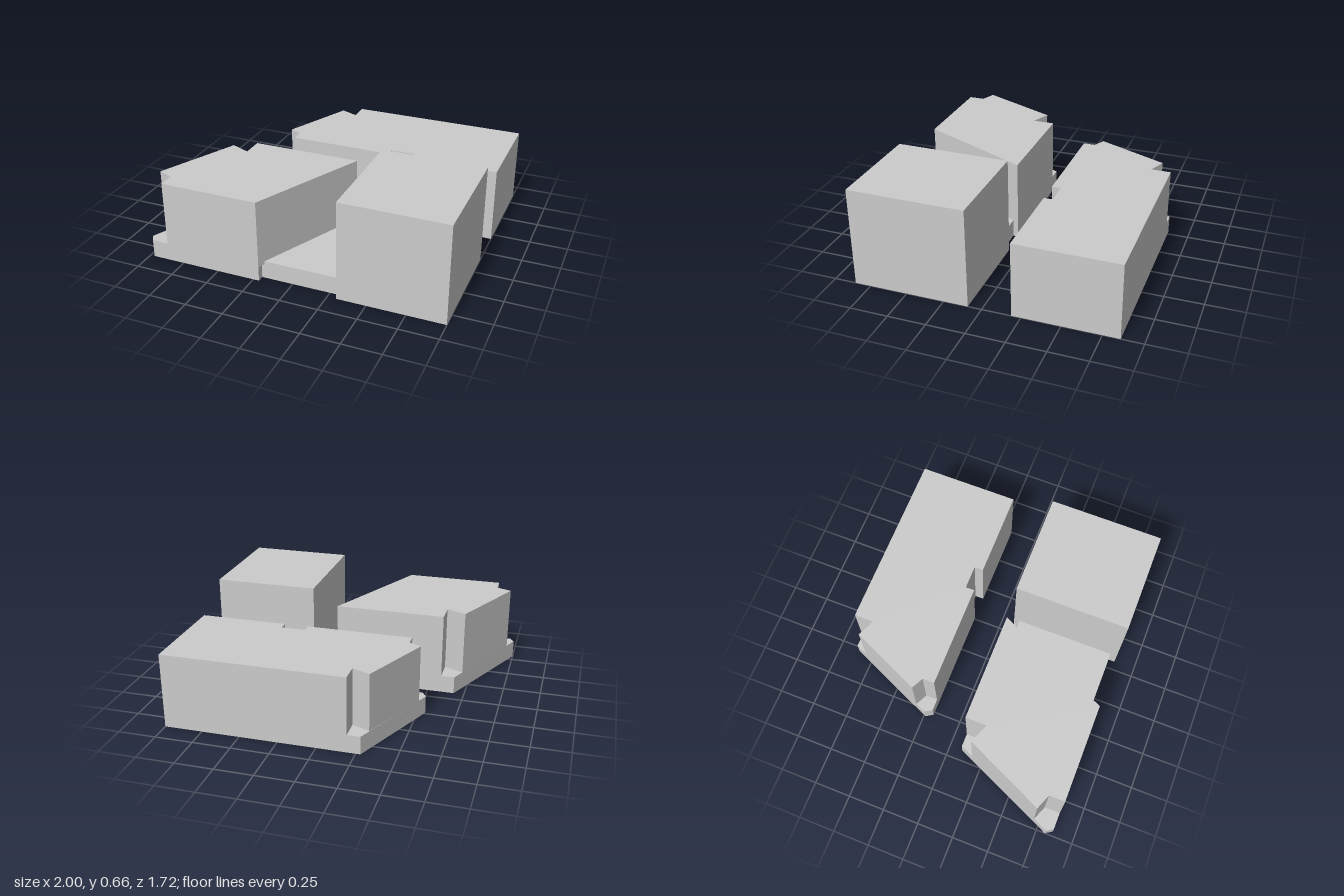
import * as THREE from 'three';
import { mergeGeometries } from 'three/addons/utils/BufferGeometryUtils.js';

const material = new THREE.MeshStandardMaterial({ color: 0xcccccc, flatShading: true, side: THREE.DoubleSide });

// Prism open at the bottom: outline of [x, z] points, walls from y0 to y1 and a flat cap at y1
function shell(name, outline, y0, y1) {
  let pts = outline.map(([x, z]) => new THREE.Vector2(x, -z));
  if (THREE.ShapeUtils.isClockWise(pts)) pts = pts.reverse();

  const pos = [];
  pts.forEach((p, i) => {
    const q = pts[(i + 1) % pts.length];
    const a = [p.x, y0, -p.y], b = [q.x, y0, -q.y], c = [q.x, y1, -q.y], d = [p.x, y1, -p.y];
    pos.push(...a, ...b, ...c, ...a, ...c, ...d);
  });
  const walls = new THREE.BufferGeometry();
  walls.setAttribute('position', new THREE.Float32BufferAttribute(pos, 3));
  walls.computeVertexNormals();

  const cap = new THREE.ShapeGeometry(new THREE.Shape(pts)).toNonIndexed();
  cap.deleteAttribute('uv');
  cap.rotateX(-Math.PI / 2).translate(0, y1, 0);

  const mesh = new THREE.Mesh(mergeGeometries([walls, cap]), material);
  mesh.name = name;
  return mesh;
}

export function createModel() {
  const model = new THREE.Group();
  model.name = 'buildingBlocks';
  const plinth = 0.12; // height of the hollow bases

  // Front block: hollow base, slanted wing, low courtyard and tall wing
  const front = new THREE.Group();
  front.name = 'frontBlock';
  front.add(
    shell('frontBase', [
      [-0.68, 0.09], [0.14, 0.09], [0.122, 0.13], [0.31, 0.13], [0.31, 0.09], [1, 0.09],
      [1, 0.855], [0.31, 0.855], [0.31, 0.81], [-0.21, 0.81], [-0.21, 0.855], [-0.97, 0.855], [-1, 0.81],
    ], 0, plinth),
    // wing with notched corners standing back from the base
    shell('slantedWing', [
      [-0.59, 0.09], [0.14, 0.09], [-0.21, 0.855], [-0.86, 0.855], [-0.86, 0.75],
      [-0.96, 0.71], [-0.72, 0.18], [-0.59, 0.235],
    ], plinth, 0.55),
    // small overhang where the slanted wall passes the courtyard edge
    shell('wingLip', [[-0.21, 0.855], [-0.19, 0.81], [-0.21, 0.81]], 0.1, plinth),
    shell('tallWing', [[0.31, 0.09], [1, 0.09], [1, 0.855], [0.31, 0.855]], plinth, 0.66),
  );

  // Back block: hollow base and long building sharing the doorway recess
  const back = new THREE.Group();
  back.name = 'backBlock';
  const rightSide = [
    [1, -0.86], [1, -0.19], [0.42, -0.19], [0.42, -0.25], [0.26, -0.25], [0.26, -0.19],
  ];
  back.add(
    shell('backBase', [[-0.28, -0.86], ...rightSide, [-0.52, -0.19], [-0.55, -0.24]], 0, plinth),
    shell('longBuilding', [
      [-0.195, -0.86], ...rightSide, [-0.44, -0.19], [-0.44, -0.27],
      [-0.52, -0.31], [-0.313, -0.78], [-0.195, -0.73],
    ], plinth, 0.5),
  );

  model.add(front, back);
  return model;
}
